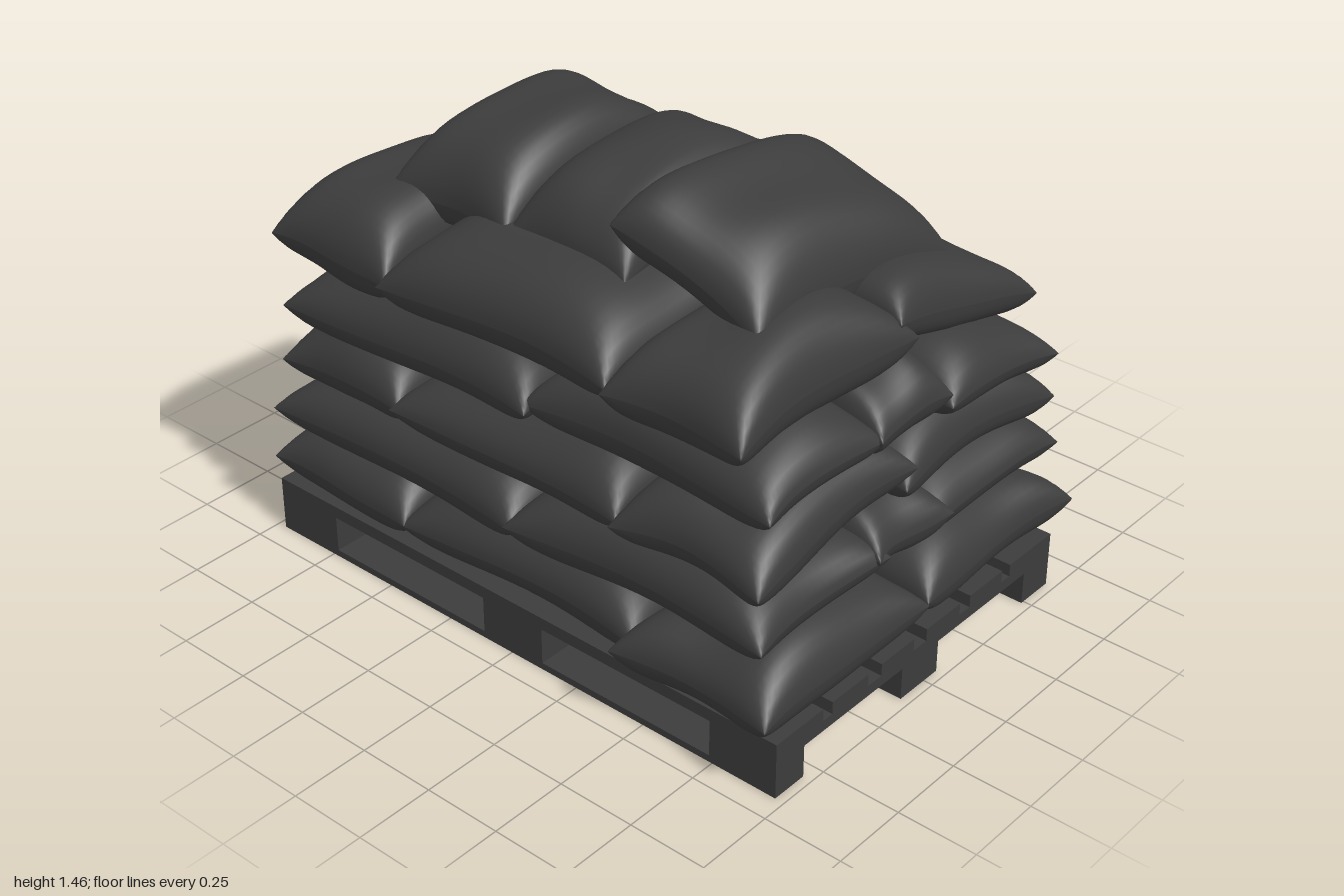
import * as THREE from 'three';
import { mergeGeometries } from 'three/addons/utils/BufferGeometryUtils.js';

const DECK = 0.18;
const material = new THREE.MeshStandardMaterial({ color: 0x3c3c3c, roughness: 0.9, side: THREE.DoubleSide });

// Box given by its limits on each axis
function slab(name, x0, x1, y0, y1, z0, z1) {
  const mesh = new THREE.Mesh(new THREE.BoxGeometry(x1 - x0, y1 - y0, z1 - z0), material);
  mesh.position.set((x0 + x1) / 2, (y0 + y1) / 2, (z0 + z1) / 2);
  mesh.name = name;
  return mesh;
}

function createPallet() {
  const pallet = new THREE.Group();
  pallet.name = 'pallet';
  const columns = [[-0.67, -0.55], [-0.11, 0.06], [0.49, 0.62]];
  const rows = [[0.74, 0.97], [-0.11, 0.12], [-0.97, -0.73]];
  const boards = [[-0.67, -0.47], [-0.43, -0.27], [-0.21, -0.06], [0, 0.16], [0.21, 0.37], [0.41, 0.62]];
  for (const [x0, x1] of columns) {
    pallet.add(slab('runner', x0, x1, 0, 0.022, -0.97, 0.97));
    for (const [z0, z1] of rows) pallet.add(slab('block', x0, x1, 0.022, 0.105, z0, z1));
  }
  for (const [z0, z1] of rows) pallet.add(slab('crossBoard', -0.67, 0.62, 0.105, 0.14, z0, z1));
  for (const [x0, x1] of boards) pallet.add(slab('deckBoard', x0, x1, 0.14, DECK, -0.97, 0.97));
  return pallet;
}

// Stuffed sack: a domed upper sheet and a flatter, squarer lower sheet joined at a seam.
// tiltX / tiltZ raise the +x / +z edge, sag lowers both short ends.
function createSack({ x0, x1, z0, z1, y, h, droop, tiltX = 0, tiltZ = 0, sag = 0, seed }) {
  const w = (x1 - x0) / 2, d = (z1 - z0) / 2;
  const cx = (x0 + x1) / 2, cz = (z0 + z1) / 2;
  const sheet = (side) => {
    const geo = new THREE.PlaneGeometry(2, 2, 28, 24);
    const pos = geo.attributes.position;
    const power = side > 0 ? 4 : 7;
    const depth = side > 0 ? 0.62 * h : -0.45 * h;
    for (let i = 0; i < pos.count; i++) {
      // crowd the grid lines towards the seam
      const u = Math.sin(pos.getX(i) * Math.PI / 2);
      const v = -side * Math.sin(pos.getY(i) * Math.PI / 2);
      const fill = Math.sqrt(Math.max(0, (1 - Math.abs(u) ** power) * (1 - Math.abs(v) ** power)));
      const x = cx + w * u - 0.026 * u * (1 - v * v) + 0.007 * Math.sin(seed * 2.1 + v * 3);
      const z = cz + d * v - 0.026 * v * (1 - u * u) + 0.007 * Math.sin(seed * 1.7 + u * 3);
      const lump = 1 + 0.06 * Math.sin(seed + u * 3.5 + v * 2) + 0.03 * Math.sin(seed * 3 + v * 5 - u * 2);
      const wave = 0.008 * Math.sin(seed * 1.3 + u * 2.6 + v * 2.2);
      const height = y + depth * fill * lump + wave + tiltX * u + tiltZ * v
        - sag * u * u - droop * Math.min(1.2, (x / 0.7) ** 4);
      pos.setXYZ(i, x, Math.max(DECK + 0.002, height), z);
    }
    geo.computeVertexNormals();
    return geo;
  };
  const mesh = new THREE.Mesh(mergeGeometries([sheet(1), sheet(-1)]), material);
  mesh.name = 'sack';
  return mesh;
}

export function createModel() {
  const model = new THREE.Group();
  model.name = 'loadedPallet';
  model.add(createPallet());

  let seed = 1;
  // Each sack: [x0, x1, z0, z1, height offset, extra settings]
  const layer = (name, y, h, droop, sacks) => {
    const group = new THREE.Group();
    group.name = name;
    for (const [x0, x1, z0, z1, dy = 0, extra = {}] of sacks) {
      group.add(createSack({ x0, x1, z0, z1, y: y + dy, h, droop, seed: seed++, ...extra }));
    }
    model.add(group);
  };

  layer('firstLayer', 0.262, 0.215, 0.015, [
    [-0.72, 0.01, 0.43, 0.98], [-0.01, 0.72, 0.43, 0.97],
    [-0.67, 0.02, -0.45, 0.46], [-0.02, 0.69, -0.45, 0.46],
    [-0.68, 0.02, -0.98, -0.42], [-0.01, 0.70, -0.99, -0.42],
  ]);
  layer('secondLayer', 0.455, 0.205, 0.02, [
    [-0.68, -0.12, -0.01, 0.92, 0.01], [0.1, 0.7, -0.01, 0.92],
    [-0.68, -0.12, -0.96, 0.02], [0.1, 0.7, -0.97, 0.02],
    [-0.19, 0.15, 0, 0.93, 0.02, { h: 0.22 }], [-0.19, 0.15, -0.95, 0.02, 0.02, { h: 0.22 }],
  ]);
  layer('thirdLayer', 0.64, 0.21, 0.03, [
    [-0.67, 0.02, 0.38, 0.9, 0.02, { tiltX: 0.02 }], [-0.05, 0.67, 0.38, 0.9],
    [-0.66, 0.02, -0.47, 0.4], [-0.02, 0.69, -0.47, 0.39, 0.01],
    [-0.66, 0.02, -0.94, -0.45], [-0.02, 0.68, -0.94, -0.46, 0.01],
  ]);
  layer('fourthLayer', 0.835, 0.205, 0.04, [
    [-0.62, -0.13, 0.03, 0.9, 0.01], [0.13, 0.66, 0.04, 0.92, -0.03, { tiltX: -0.01 }],
    [-0.65, -0.13, -0.92, 0.05], [0.1, 0.68, -0.93, 0.06],
    [-0.17, 0.15, 0, 0.91, 0.015, { h: 0.23 }], [-0.17, 0.15, -0.92, 0.02, 0.015, { h: 0.23 }],
  ]);
  layer('fifthLayer', 1.045, 0.245, 0.04, [
    [-0.67, 0.08, 0.35, 0.83], [0.01, 0.67, 0.35, 0.82, -0.03, { tiltX: -0.07, h: 0.2 }],
    [-0.66, -0.02, -0.49, 0.37, 0.01], [0.05, 0.66, -0.4, 0.38],
    [-0.66, 0.01, -0.94, -0.47, 0.01], [0.02, 0.66, -0.85, -0.39, -0.02, { tiltX: -0.03 }],
  ]);
  layer('topLayer', 1.23, 0.27, 0, [
    [-0.42, 0.35, -0.68, -0.21, 0, { sag: 0.06 }],
    [-0.42, 0.37, -0.23, 0.21, 0.01, { sag: 0.06 }],
    [-0.42, 0.44, 0.17, 0.68, 0.015, { sag: 0.03, tiltX: -0.045, tiltZ: -0.085, h: 0.26 }],
  ]);
  return model;
}
